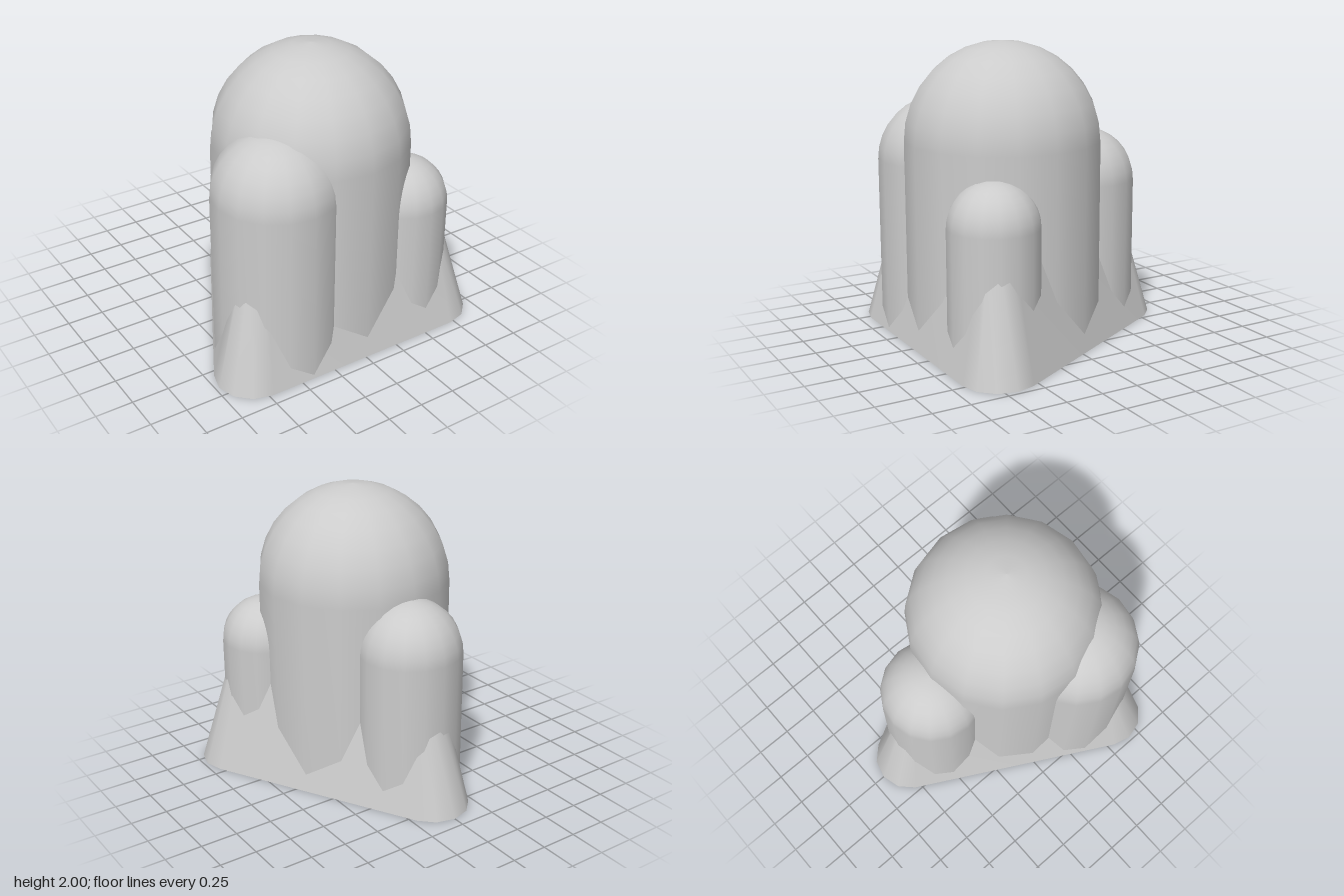
import * as THREE from 'three';

const material = new THREE.MeshStandardMaterial({ color: 0xcccccc, side: THREE.DoubleSide });

// Round-topped column, open at the bottom
function domeColumn(name, x, z, radius, height) {
  const profile = [new THREE.Vector2(radius, 0)];
  const rows = 8;
  for (let i = 0; i <= rows; i++) {
    const a = (i / rows) * Math.PI / 2;
    profile.push(new THREE.Vector2(
      i === rows ? 0 : radius * Math.cos(a),
      height - radius + radius * Math.sin(a)
    ));
  }
  const mesh = new THREE.Mesh(new THREE.LatheGeometry(profile, 16), material);
  mesh.name = name;
  mesh.position.set(x, 0, z);
  mesh.rotation.y = 0.045;
  return mesh;
}

// Tapered skirt: a rounded triangle whose corners shrink and move inward with height
function skirt() {
  const corners = [[0.725, 0.67, 30], [-0.725, 0.67, 150], [0, -0.67, 270]];
  const centreZ = 0.223;
  const top = 0.8;
  const steps = 4;
  const positions = [];
  const index = [];
  for (const y of [0, top]) {
    const radius = 0.25 - 0.17 * y;
    for (const [cx, cz, facing] of corners) {
      const pull = 1 - (0.13 * y) / 0.87;
      for (let i = 0; i <= steps; i++) {
        const a = THREE.MathUtils.degToRad(facing - 60 + (120 * i) / steps);
        positions.push(
          cx * pull + radius * Math.cos(a),
          y,
          centreZ + (cz - centreZ) * pull + radius * Math.sin(a)
        );
      }
    }
  }
  const n = corners.length * (steps + 1);
  for (let i = 0; i < n; i++) {
    const j = (i + 1) % n;
    index.push(i, n + i, n + j, i, n + j, j);
  }
  const geometry = new THREE.BufferGeometry();
  geometry.setAttribute('position', new THREE.Float32BufferAttribute(positions, 3));
  geometry.setIndex(index);
  geometry.computeVertexNormals();
  const mesh = new THREE.Mesh(geometry, material);
  mesh.name = 'baseSkirt';
  return mesh;
}

export function createModel() {
  const group = new THREE.Group();
  group.name = 'domedColumns';
  group.add(
    domeColumn('mainColumn', 0, 0.235, 0.655, 2),
    domeColumn('rightColumn', -0.43, 0.495, 0.42, 1.6),
    domeColumn('leftColumn', 0.51, 0.58, 0.3, 1.2),
    domeColumn('backColumn', -0.005, -0.4, 0.352, 1.37),
    skirt()
  );
  return group;
}
